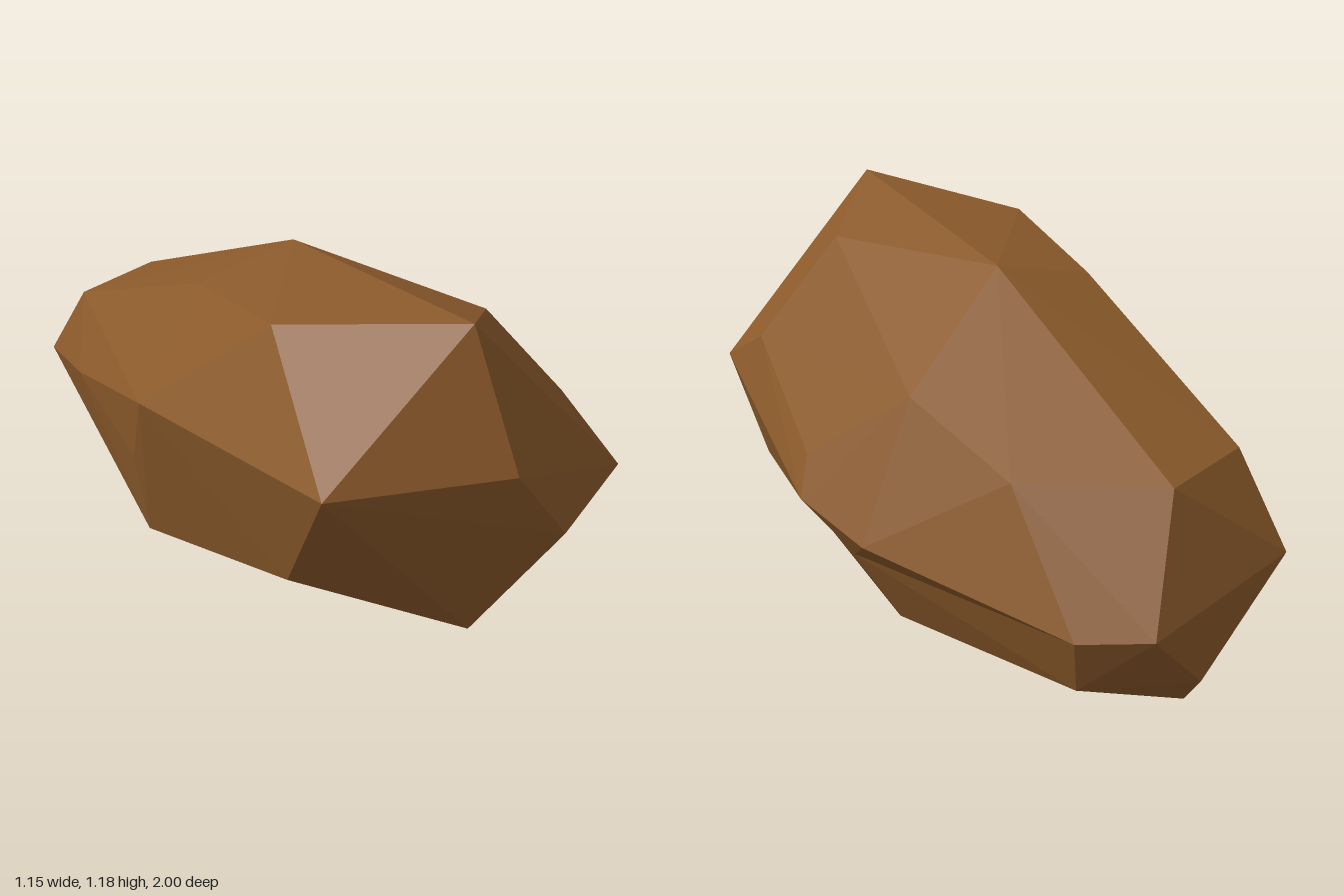
import * as THREE from 'three';
import { ConvexGeometry } from 'three/addons/geometries/ConvexGeometry.js';

// Corners of the boulder, grouped from the blunt front to the tapered back
const corners = [
  // front cap
  [0, 0.83, 1], [0.16, 0.615, 1], [-0.03, 1.18, 0.83], [-0.46, 0.82, 0.84],
  [0.46, 0.64, 0.84], [0, 0.27, 0.83],
  // front shoulder
  [0.405, 0.35, 0.68], [0.44, 0.76, 0.61], [0.2, 1.05, 0.57],
  [-0.365, 1.095, 0.44], [-0.41, 0.43, 0.59],
  // waist
  [0.575, 0.47, 0.02], [0.53, 0.58, 0.07], [-0.03, 1.07, -0.02],
  [-0.33, 1.01, -0.02], [-0.575, 0.76, 0.09], [-0.53, 0.5, -0.06],
  [-0.47, 0.21, -0.11], [-0.05, 0, -0.15], [0.37, 0.145, -0.18],
  [0.51, 0.41, -0.24], [0.34, 0.8, -0.2],
  // rear shoulder
  [0.24, 0.665, -0.57], [-0.51, 0.58, -0.46], [-0.37, 0.7, -0.72],
  [-0.34, 0.19, -0.77], [0.18, 0.165, -0.81],
  // back cap
  [-0.08, 0.685, -0.84], [0.22, 0.33, -0.86], [-0.42, 0.45, -0.88],
  [-0.08, 0.125, -0.92], [-0.08, 0.21, -0.99], [0.07, 0.36, -1],
].map((p) => new THREE.Vector3(...p));

// One corner is wrapped while raised, then pushed in to leave a shallow dent
const raised = new THREE.Vector3(0.54, 0.33, -0.12);
const dent = new THREE.Vector3(0.48, 0.34, -0.13);

export function createModel() {
  const group = new THREE.Group();
  group.name = 'rock';

  const brownStone = new THREE.MeshStandardMaterial({ color: 0x8b5a2b, flatShading: true });
  brownStone.name = 'brownStone';

  const geometry = new ConvexGeometry([...corners, raised]);
  const position = geometry.attributes.position;
  const v = new THREE.Vector3();
  for (let i = 0; i < position.count; i++) {
    v.fromBufferAttribute(position, i);
    if (v.distanceTo(raised) < 0.001) position.setXYZ(i, dent.x, dent.y, dent.z);
  }
  geometry.computeVertexNormals();

  const boulder = new THREE.Mesh(geometry, brownStone);
  boulder.name = 'boulder';
  group.add(boulder);
  return group;
}
